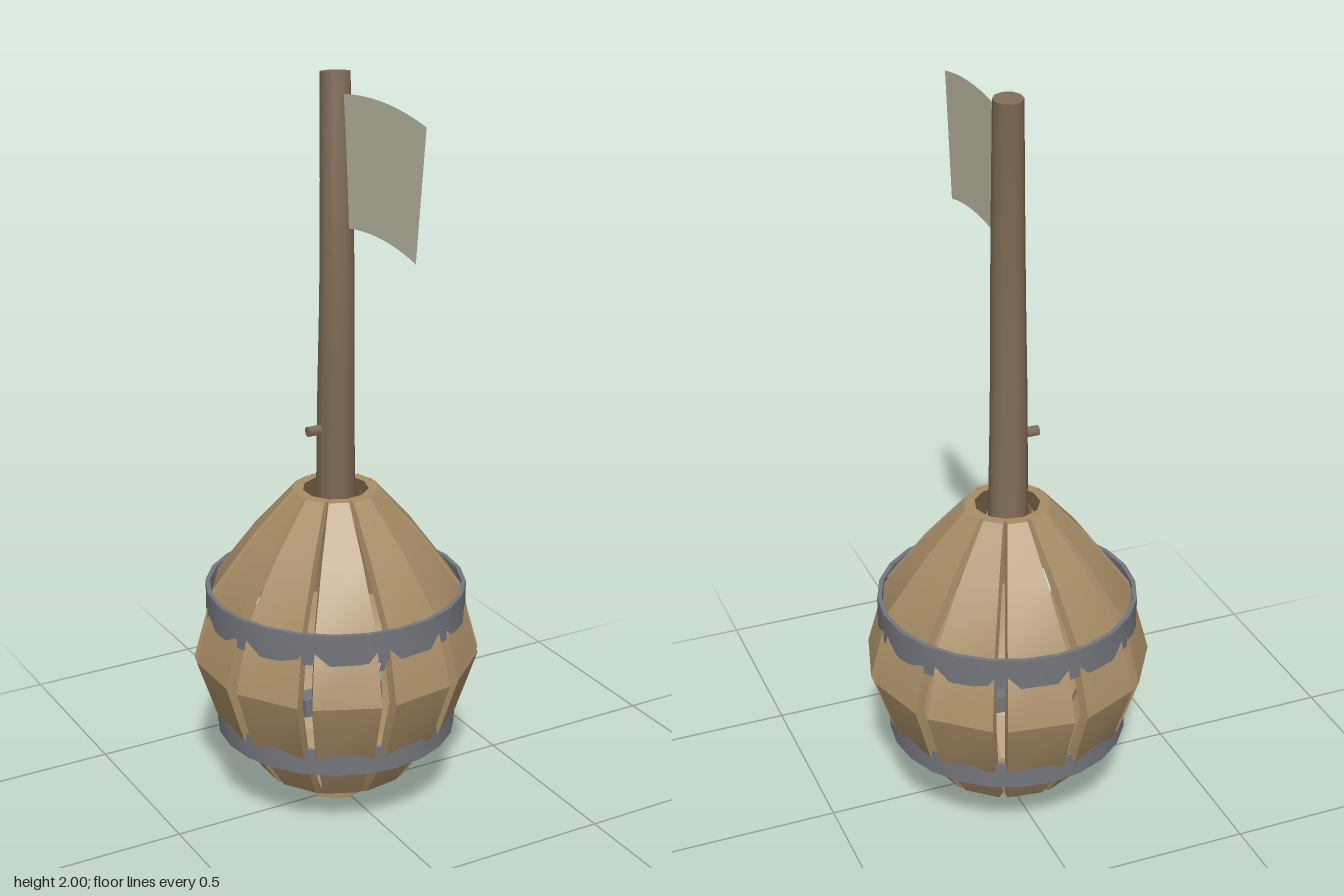
import * as THREE from 'three';
import { toCreasedNormals } from 'three/addons/utils/BufferGeometryUtils.js';

const mat = (color, side = THREE.FrontSide) => new THREE.MeshStandardMaterial({ color, side });
const wood = mat(0xa88d66), poleWood = mat(0x806b56), iron = mat(0x74767d);
const cloth = mat(0xc0bca8, THREE.DoubleSide);

const STAVES = 11;
// stave profile: [radius, height]
const PROFILE = [[0.085, 0.02], [0.205, 0.09], [0.32, 0.26], [0.375, 0.43], [0.325, 0.62], [0.218, 0.77], [0.112, 0.893]];

function add(parent, name, geometry, material, x = 0, y = 0, z = 0) {
  const mesh = new THREE.Mesh(geometry, material);
  mesh.name = name;
  mesh.position.set(x, y, z);
  parent.add(mesh);
  return mesh;
}

// flat plank bent along the profile, its width following the radius
function staveGeometry() {
  const rows = PROFILE.length - 1;
  const g = new THREE.BoxGeometry(1, 1, 1, 1, rows, 1);
  const p = g.attributes.position;
  for (let i = 0; i < p.count; i++) {
    const [r, y] = PROFILE[Math.round((p.getY(i) + 0.5) * rows)];
    const depth = p.getZ(i) > 0 ? 0 : 0.028;
    p.setXYZ(i, Math.sign(p.getX(i)) * r * 0.24, y, r - depth);
  }
  return toCreasedNormals(g, 0.4);
}

// thin hoop with a rectangular section
function hoopGeometry(r, y0, y1) {
  const inner = r - 0.012;
  const section = [[inner, y0], [r, y0], [r, y1], [inner, y1], [inner, y0]];
  const g = new THREE.LatheGeometry(section.map(([x, y]) => new THREE.Vector2(x, y)), 24);
  return toCreasedNormals(g, 0.6);
}

// tapered rod swept along a bent spine
function poleGeometry() {
  const spine = new THREE.CatmullRomCurve3([
    [-0.008, 0.76, -0.022], [-0.013, 0.89, -0.013], [-0.021, 1.15, 0.003],
    [-0.023, 1.45, 0.013], [-0.017, 1.75, 0.0], [-0.008, 1.995, -0.023],
  ].map((a) => new THREE.Vector3(...a)));
  const g = new THREE.CylinderGeometry(0.039, 0.054, 1, 10, 14);
  const p = g.attributes.position;
  const up = new THREE.Vector3(0, 1, 0), v = new THREE.Vector3(), q = new THREE.Quaternion();
  for (let i = 0; i < p.count; i++) {
    const t = THREE.MathUtils.clamp(p.getY(i) + 0.5, 0, 1);
    q.setFromUnitVectors(up, spine.getTangentAt(t));
    v.set(p.getX(i), 0, p.getZ(i)).applyQuaternion(q).add(spine.getPointAt(t));
    p.setXYZ(i, v.x, v.y, v.z);
  }
  return toCreasedNormals(g, 0.8);
}

export function createModel() {
  const model = new THREE.Group();
  model.name = 'barrelOnPole';

  // barrel of spaced staves
  const barrel = new THREE.Group();
  barrel.name = 'barrel';
  barrel.position.set(-0.005, 0, -0.028);
  model.add(barrel);
  const plank = staveGeometry();
  for (let i = 0; i < STAVES; i++) {
    add(barrel, 'stave', plank, wood).rotation.y = -Math.PI / 2 + (i * Math.PI * 2) / STAVES;
  }
  add(barrel, 'basePlate', toCreasedNormals(new THREE.CylinderGeometry(0.08, 0.08, 0.022, 11), 0.7), wood, 0, 0.011, 0);

  // iron hoops and inner crossbar
  add(barrel, 'upperHoop', hoopGeometry(0.35, 0.54, 0.625), iron);
  add(barrel, 'lowerHoop', hoopGeometry(0.325, 0.21, 0.28), iron);
  add(barrel, 'innerBar', new THREE.BoxGeometry(0.24, 0.05, 0.06), iron, 0.01, 0.275, 0);

  // pole with a side peg
  add(model, 'pole', poleGeometry(), poleWood);
  const peg = add(model, 'peg', toCreasedNormals(new THREE.CylinderGeometry(0.014, 0.014, 0.05, 8), 0.9), poleWood, -0.078, 1.075, 0);
  peg.rotation.z = Math.PI / 2;

  // curved cloth flag, drawn in (forward, up) and turned to point forward
  const outline = new THREE.Shape();
  outline.moveTo(0, 1.605);
  outline.quadraticCurveTo(0.19, 1.645, 0.37, 1.6);
  outline.lineTo(0.41, 1.935);
  outline.quadraticCurveTo(0.2, 1.98, -0.01, 1.94);
  const flag = add(model, 'flag', new THREE.ShapeGeometry(outline, 10), cloth, -0.008, 0, 0);
  flag.rotation.y = -Math.PI / 2;

  return model;
}
